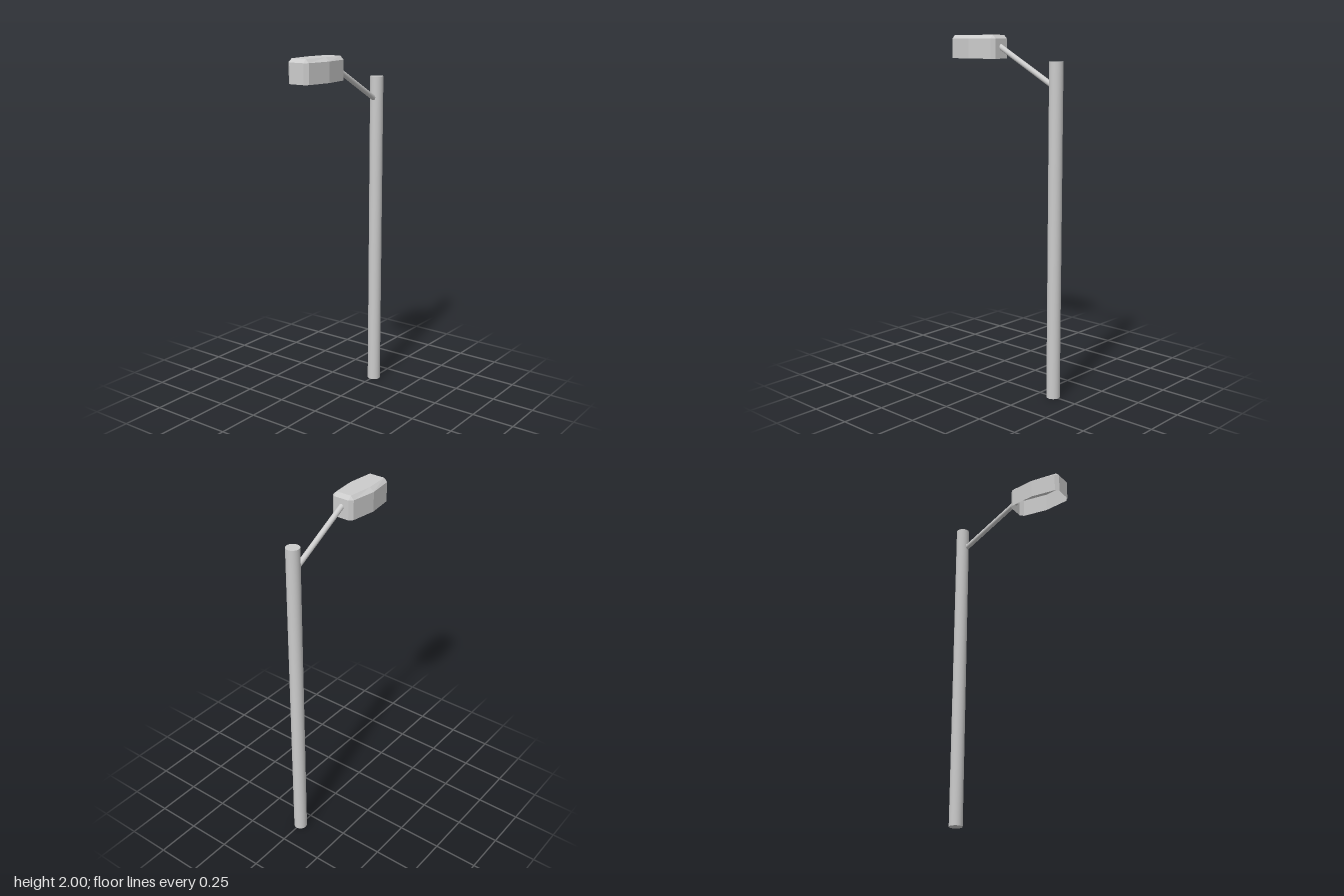
import * as THREE from 'three';

const grey = new THREE.MeshStandardMaterial({ color: 0xcccccc });
const shellGrey = new THREE.MeshStandardMaterial({ color: 0xcccccc, flatShading: true, side: THREE.DoubleSide });

const POLE_Z = -0.345;
const HEAD_Z = 0.214;

// Cylinder running between two points
function rod(name, from, to, radius, sides) {
  const dir = to.clone().sub(from);
  const mesh = new THREE.Mesh(new THREE.CylinderGeometry(radius, radius, dir.length(), sides), grey);
  mesh.position.copy(from).add(to).multiplyScalar(0.5);
  mesh.quaternion.setFromUnitVectors(new THREE.Vector3(0, 1, 0), dir.normalize());
  mesh.name = name;
  return mesh;
}

// Closed outline from its +x half, mirrored to -x
function ring(half, y) {
  const right = half.map(([x, z]) => new THREE.Vector3(x, y, z));
  const left = half.map(([x, z]) => new THREE.Vector3(-x, y, z)).reverse();
  return [...right, ...left];
}

// Lamp housing: upright walls, bevelled lid, open underneath
function lampHousing() {
  const wall = [[0.046, -0.167], [0.066, -0.148], [0.086, 0], [0.066, 0.148], [0.046, 0.167]];
  const lid = [[0.046, -0.147], [0.046, -0.147], [0.06, 0], [0.046, 0.147], [0.046, 0.147]];
  const rings = [ring(wall, 1.87), ring(wall, 1.98), ring(lid, 2)];
  const top = rings[2];
  const centre = new THREE.Vector3(0, 2, 0);
  const points = [];
  const triangle = (a, b, c) => {
    const area = b.clone().sub(a).cross(c.clone().sub(a)).length();
    if (area > 1e-8) points.push(a, b, c);
  };
  for (let i = 0; i < top.length; i++) {
    const j = (i + 1) % top.length;
    for (let r = 0; r < 2; r++) {
      const low = rings[r], high = rings[r + 1];
      triangle(low[i], high[i], low[j]);
      triangle(low[j], high[i], high[j]);
    }
    triangle(centre, top[j], top[i]);
  }
  const geometry = new THREE.BufferGeometry().setFromPoints(points);
  geometry.computeVertexNormals();
  const mesh = new THREE.Mesh(geometry, shellGrey);
  mesh.position.z = HEAD_Z;
  mesh.name = 'lampHousing';
  return mesh;
}

export function createModel() {
  const group = new THREE.Group();
  group.name = 'streetLamp';
  const at = (y, z) => new THREE.Vector3(0, y, z);
  group.add(
    rod('pole', at(0, POLE_Z), at(1.86, POLE_Z), 0.038, 32),
    rod('arm', at(1.735, -0.32), at(1.937, 0.055), 0.015, 24),
    lampHousing()
  );
  return group;
}
